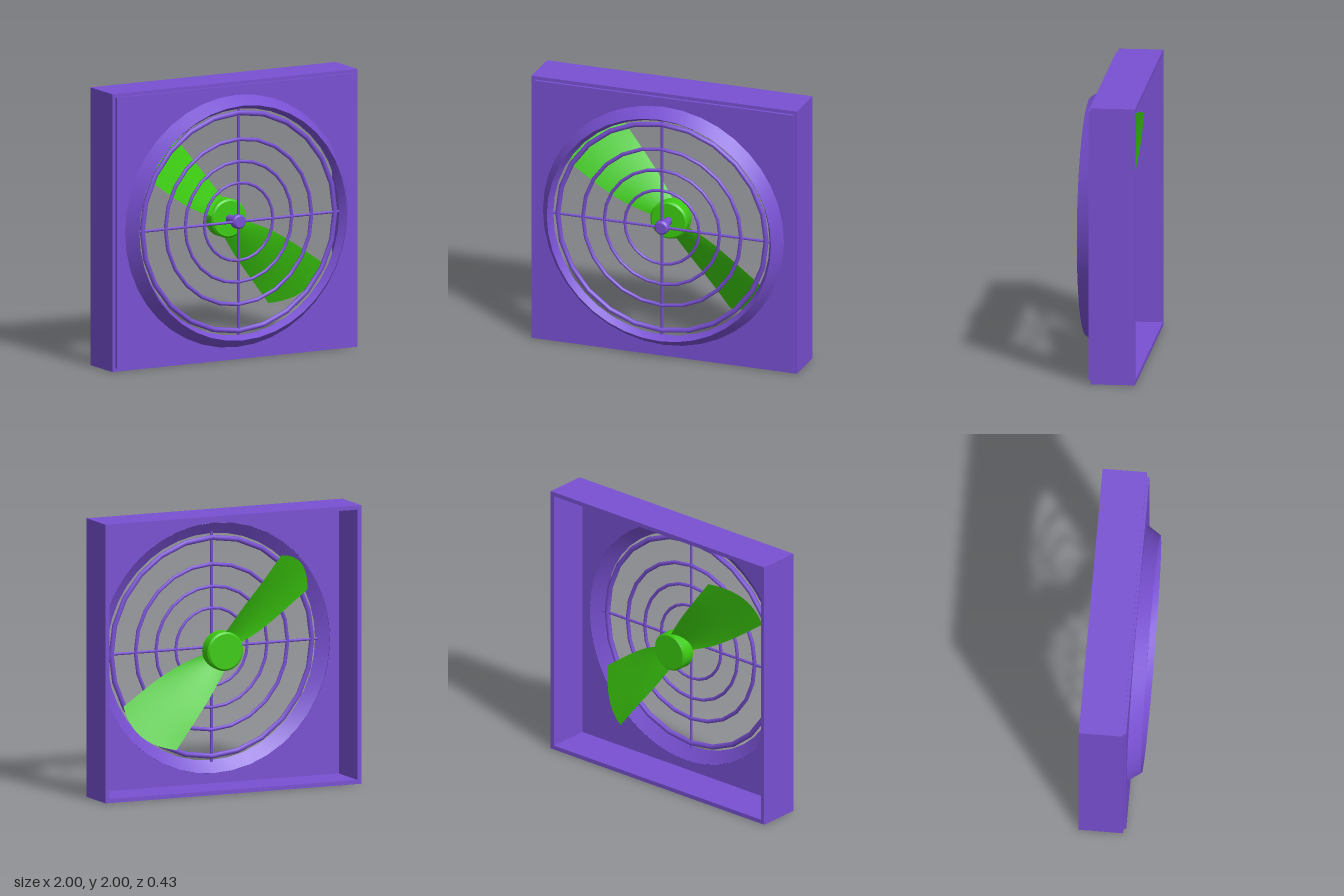
import * as THREE from 'three';
import { toCreasedNormals } from 'three/addons/utils/BufferGeometryUtils.js';
import { ParametricGeometry } from 'three/addons/geometries/ParametricGeometry.js';

export function createModel() {
  const model = new THREE.Group();
  model.name = 'boxFan';
  const purple = new THREE.MeshStandardMaterial({ color: 0x7850d2 });
  const green = new THREE.MeshStandardMaterial({ color: 0x3ccc10 });
  const greenSheet = new THREE.MeshStandardMaterial({ color: 0x3ccc10, side: THREE.DoubleSide });

  // Everything is built around the fan axis, then lifted so the box stands on y = 0
  const add = (name, geometry, material, parent = model) => {
    const mesh = new THREE.Mesh(geometry, material);
    mesh.name = name;
    parent.add(mesh);
    return mesh;
  };
  // Turned part about the z axis from [radius, z] pairs
  const turned = (profile, sides) => toCreasedNormals(
    new THREE.LatheGeometry(profile.map(([r, z]) => new THREE.Vector2(r, z)), sides).rotateX(Math.PI / 2), 0.5);
  const square = (h, Type = THREE.Shape) => new Type(
    [[-h, -h], [h, -h], [h, h], [-h, h]].map(([x, y]) => new THREE.Vector2(x, y)));
  // Square slab with a hole, from z0 to z1
  const slab = (half, hole, z0, z1) => {
    const shape = square(half);
    shape.holes.push(hole);
    return new THREE.ExtrudeGeometry(shape, { depth: z1 - z0, bevelEnabled: false, curveSegments: 48 })
      .translate(0, 0, z0);
  };

  // Open-backed housing with a thin front plate
  add('housing', slab(1, square(0.97, THREE.Path), -0.215, 0.1), purple);
  add('frontPlate', slab(0.975, new THREE.Path().absarc(0, 0, 0.9, 0, Math.PI * 2, true), 0.095, 0.12), purple);

  // Sloping collar with an inner lip that holds the grille
  add('collar', turned([[0.915, 0.11], [0.845, 0.215], [0.815, 0.16], [0.9, 0.1], [0.915, 0.11]], 40), purple);

  // Grille: concentric rings, crossed spokes and a centre cap
  const grille = new THREE.Group();
  grille.name = 'grille';
  grille.position.z = 0.15;
  model.add(grille);
  for (const [radius, tube] of [[0.785, 0.019], [0.595, 0.014], [0.435, 0.012], [0.28, 0.011]])
    add('grilleRing', new THREE.TorusGeometry(radius, tube, 8, 24), purple, grille);
  for (const angle of [0, Math.PI / 2])
    add('grilleSpoke', new THREE.CylinderGeometry(0.01, 0.01, 1.65, 8), purple, grille).rotation.z = angle;
  add('grilleCap', turned([[0, -0.025], [0.052, -0.025], [0.052, 0.012], [0.04, 0.025], [0, 0.025]], 20), purple, grille);
  add('shaft', new THREE.CylinderGeometry(0.03, 0.03, 0.16, 16).rotateX(Math.PI / 2).translate(0, 0, 0.08), purple);

  // Hub with softened rims
  add('hub', turned([[0, -0.09], [0.127, -0.09], [0.14, -0.078], [0.14, 0.008], [0.127, 0.02], [0, 0.02]], 36), green);

  // Twisted blade spanned between a trailing and a leading edge, with a rounded tip
  const edge = (points) => new THREE.CatmullRomCurve3(points.map((p) => new THREE.Vector3(...p)));
  const trailing = edge([[0.0, 0.13, -0.075], [-0.12, 0.3, -0.105], [-0.27, 0.49, -0.13], [-0.41, 0.67, -0.14]]);
  const leading = edge([[-0.12, 0.02, 0.005], [-0.31, 0.1, 0.04], [-0.47, 0.195, 0.065], [-0.72, 0.37, 0.085]]);
  const blade = new ParametricGeometry((u, v, target) => {
    const a = trailing.getPoint(v), b = leading.getPoint(v);
    const bow = 4 * u * (1 - u);
    target.lerpVectors(a, b, u);
    // Push the tip outward into an arc and give the face a slight camber
    target.x -= 0.06 * bow * v ** 4;
    target.y += 0.06 * bow * v ** 4;
    target.z += 0.015 * bow;
  }, 12, 20);
  for (let i = 0; i < 2; i++)
    add('blade', blade, greenSheet).rotation.z = i * Math.PI;

  model.children.forEach((part) => { part.position.y += 1; });
  return model;
}
